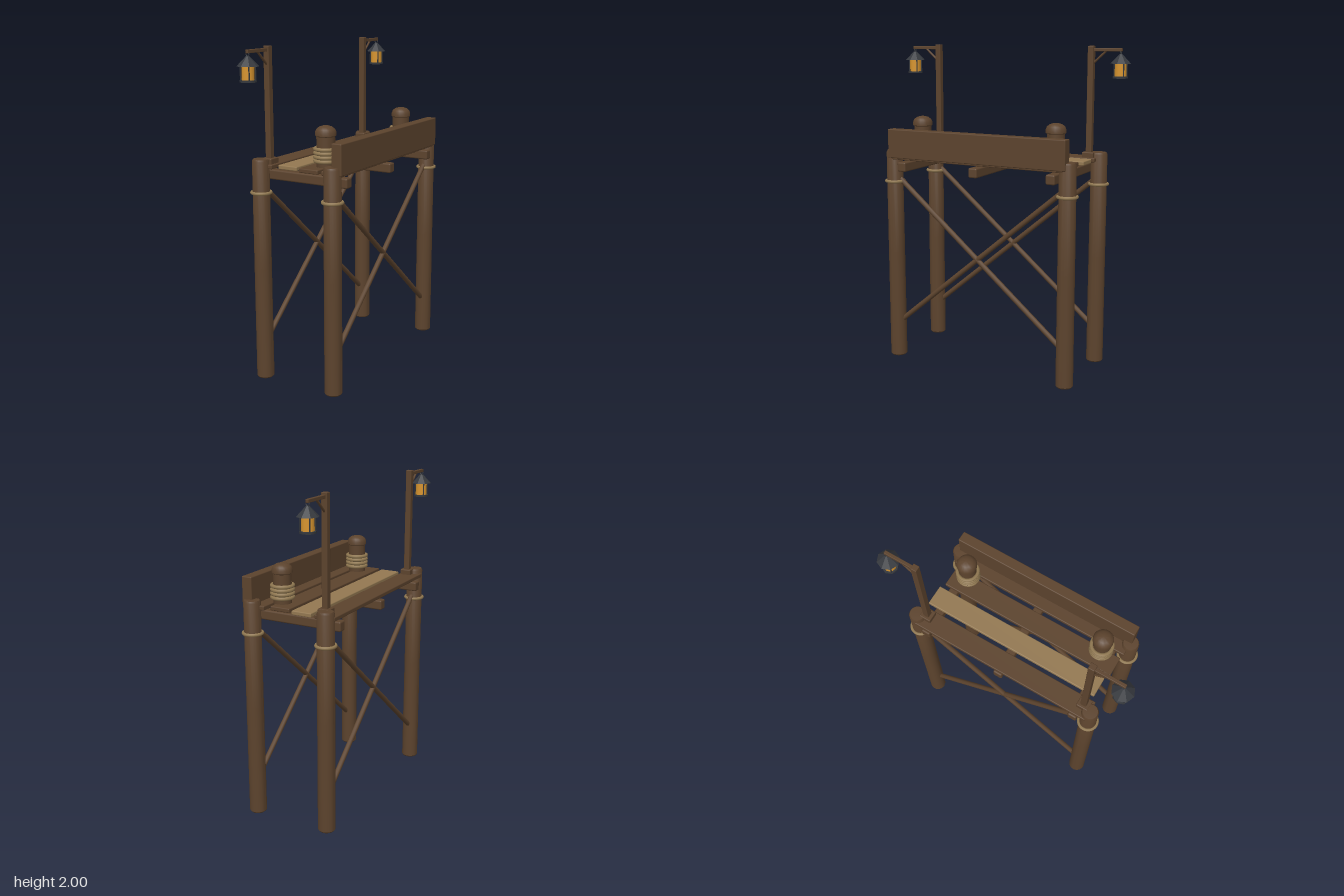
import * as THREE from 'three';
import { RoundedBoxGeometry } from 'three/addons/geometries/RoundedBoxGeometry.js';
import { toCreasedNormals } from 'three/addons/utils/BufferGeometryUtils.js';

const mat = (name, color) => {
  const m = new THREE.MeshStandardMaterial({ color });
  m.name = name;
  return m;
};

export function createModel() {
  const wood = mat('dark wood', 0x5c432d);
  const paleWood = mat('pale wood', 0x937851);
  const rope = mat('rope', 0x8f7750);
  const iron = mat('iron', 0x35383d);
  const amber = mat('amber glass', 0xd8952f);

  const model = new THREE.Group();
  model.name = 'dock';

  const add = (parent, name, geometry, material, x = 0, y = 0, z = 0) => {
    const mesh = new THREE.Mesh(geometry, material);
    mesh.name = name;
    mesh.position.set(x, y, z);
    parent.add(mesh);
    return mesh;
  };
  const block = (w, h, d, r = 0.006) => new RoundedBoxGeometry(w, h, d, 2, r);
  const lathe = (points, sides) => toCreasedNormals(
    new THREE.LatheGeometry(points.map(p => new THREE.Vector2(...p)), sides), 0.6);
  const ring = (radius, tube) =>
    new THREE.TorusGeometry(radius, tube, 8, 28).rotateX(Math.PI / 2);
  // Round rod between two points
  const rod = (parent, name, a, b, r, material) => {
    const from = new THREE.Vector3(...a), to = new THREE.Vector3(...b);
    const dir = to.clone().sub(from);
    const mid = from.clone().add(to).multiplyScalar(0.5);
    const mesh = add(parent, name, new THREE.CylinderGeometry(r, r, dir.length(), 10),
      material, mid.x, mid.y, mid.z);
    mesh.quaternion.setFromUnitVectors(new THREE.Vector3(0, 1, 0), dir.normalize());
    return mesh;
  };

  // Four piles, each with a rope collar
  const pile = lathe([[0, 0], [0.047, 0], [0.053, 0.008], [0.052, 0.7],
    [0.051, 1.343], [0.045, 1.355], [0, 1.357]], 18);
  for (const x of [-0.246, 0.244]) {
    for (const z of [-0.592, 0.592]) {
      add(model, 'pile', pile, wood, x, 0, z);
      add(model, 'pileRope', ring(0.056, 0.01), rope, x, 1.157, z);
    }
    // Crossed braces along each long side
    for (const s of [-1, 1]) {
      rod(model, 'crossBrace', [x, 1.18, 0.56 * s], [x, 0.24, -0.56 * s], 0.016, wood);
    }
  }

  // Beams under the deck
  for (const z of [-0.507, 0, 0.507]) {
    add(model, 'beam', block(0.61, 0.06, 0.058, 0.01), wood, -0.002, 1.256, z);
  }

  // Deck planks: centre x, centre z, length, material
  const planks = [
    [-0.235, 0, 1.18, wood], [-0.08, -0.01, 1.145, paleWood],
    [0.075, 0.01, 1.145, wood], [0.23, 0, 1.18, wood],
  ];
  for (const [x, z, length, material] of planks) {
    add(model, 'plank', block(0.128, 0.026, length), material, x, 1.312, z);
  }

  // Upright board along the left edge
  add(model, 'sideBoard', block(0.066, 0.18, 1.2), wood, 0.273, 1.4, 0);

  // Bollards wrapped with rope
  const bollard = lathe([[0, 0], [0.054, 0], [0.054, 0.18], [0.061, 0.185], [0.061, 0.205],
    [0.054, 0.222], [0.037, 0.235], [0.018, 0.241], [0, 0.243]], 20);
  for (const z of [-0.46, 0.46]) {
    const group = new THREE.Group();
    group.name = 'bollard';
    group.position.set(0.118, 1.32, z);
    model.add(group);
    add(group, 'bollardPost', bollard, wood);
    for (let i = 0; i < 4; i++) {
      add(group, 'ropeCoil', ring(0.062, 0.0115), rope, 0, 0.04 + i * 0.023, 0);
    }
  }

  // Lamp posts; local +z points outward past the end of the deck
  for (const end of [-1, 1]) {
    const lampPost = new THREE.Group();
    lampPost.name = 'lampPost';
    lampPost.position.set(-0.218, 0, 0.538 * end);
    if (end < 0) lampPost.rotation.y = Math.PI;
    model.add(lampPost);
    add(lampPost, 'foot', block(0.07, 0.04, 0.075), wood, 0, 1.338, 0);
    add(lampPost, 'mast', block(0.037, 0.69, 0.037, 0.004), wood, 0, 1.655, 0);
    add(lampPost, 'arm', block(0.02, 0.02, 0.2, 0.003), wood, 0, 1.978, 0.095);
    rod(lampPost, 'armBrace', [0, 1.895, 0.01], [0, 1.975, 0.1], 0.007, wood);

    const lantern = new THREE.Group();
    lantern.name = 'lantern';
    lantern.position.set(0, 0, 0.187);
    lampPost.add(lantern);
    add(lantern, 'hook', new THREE.TorusGeometry(0.01, 0.003, 6, 14), iron, 0, 1.963, 0);
    const cap = new THREE.CylinderGeometry(0.01, 0.064, 0.055, 8).toNonIndexed();
    cap.computeVertexNormals();
    add(lantern, 'lanternCap', cap, iron, 0, 1.925, 0);
    add(lantern, 'lanternGlass', new THREE.CylinderGeometry(0.036, 0.036, 0.078, 12),
      amber, 0, 1.86, 0);
    add(lantern, 'lanternBase', new THREE.CylinderGeometry(0.048, 0.048, 0.012, 8),
      iron, 0, 1.816, 0);
    for (let i = 0; i < 4; i++) {
      const a = Math.PI / 4 + i * Math.PI / 2;
      add(lantern, 'lanternBar', new THREE.CylinderGeometry(0.004, 0.004, 0.082, 6),
        iron, 0.042 * Math.cos(a), 1.861, 0.042 * Math.sin(a));
    }
  }
  return model;
}
